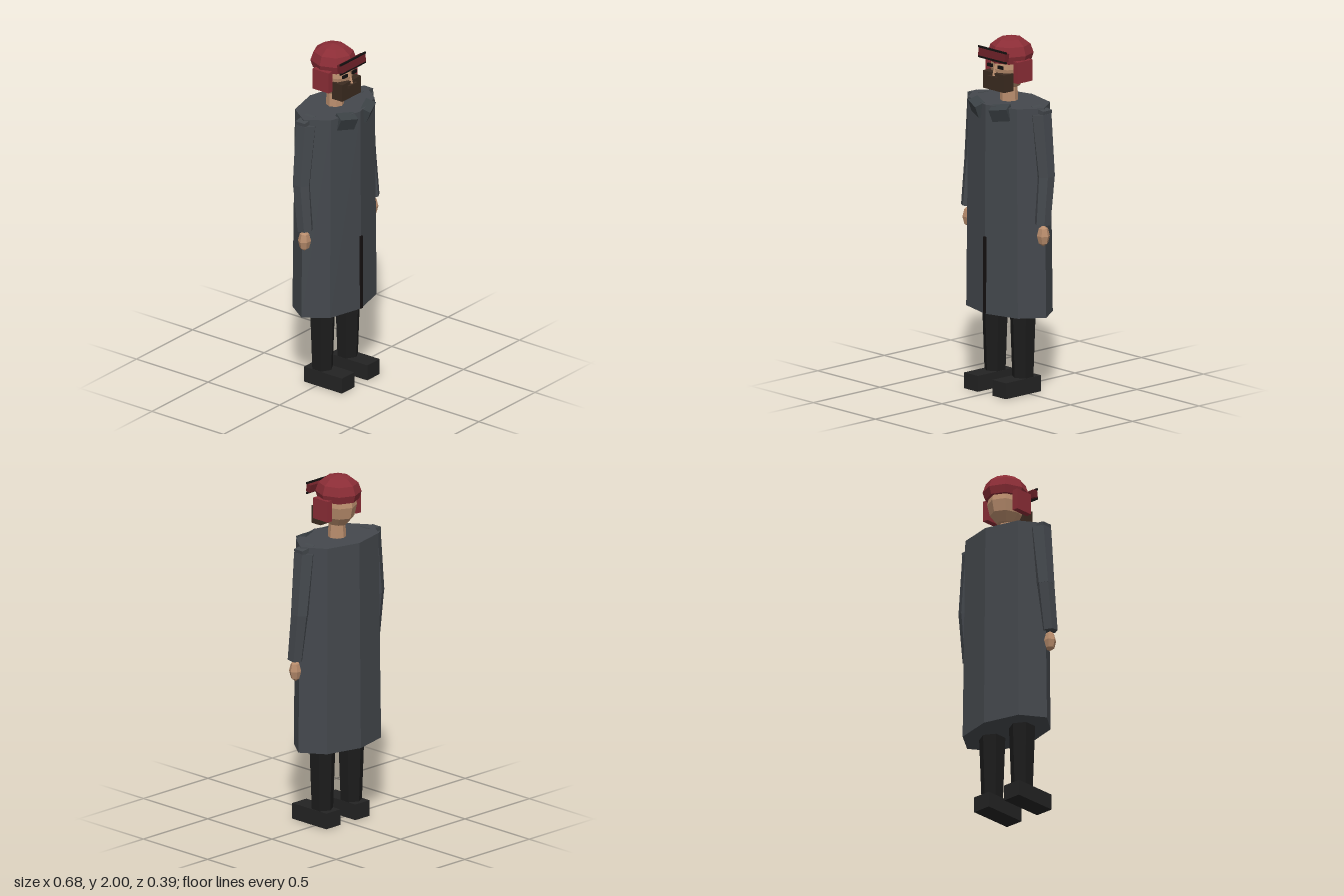
import * as THREE from 'three';

const mat = (name, color) => {
  const m = new THREE.MeshStandardMaterial({ color, flatShading: true });
  m.name = name;
  return m;
};

export function createModel() {
  const root = new THREE.Group();
  root.name = 'manInLongCoat';
  const coatGrey = mat('coat grey', 0x44484d);
  const collarGrey = mat('collar grey', 0x3b4145);
  const trouserBlack = mat('trouser black', 0x1c1c1c);
  const bootBlack = mat('boot black', 0x232323);
  const skin = mat('skin', 0xb98d6d);
  const beardBrown = mat('beard brown', 0x3b2b20);
  const red = mat('cap red', 0x8b2d36);
  const darkRed = mat('peak red', 0x6b2027);
  const black = mat('black', 0x141010);

  const add = (name, geo, m, x = 0, y = 0, z = 0, rx = 0, ry = 0, rz = 0) => {
    const mesh = new THREE.Mesh(geo, m);
    mesh.name = name;
    mesh.position.set(x, y, z);
    mesh.rotation.set(rx, ry, rz);
    root.add(mesh);
    return mesh;
  };
  const box = (w, h, d) => new THREE.BoxGeometry(w, h, d);

  // Tapered limb between two points
  const limb = (name, a, b, ra, rb, sides, m) => {
    const p = new THREE.Vector3(...a), q = new THREE.Vector3(...b);
    const dir = p.clone().sub(q);
    const mesh = add(name, new THREE.CylinderGeometry(ra, rb, dir.length(), sides), m);
    mesh.position.copy(p).add(q).multiplyScalar(0.5);
    mesh.quaternion.setFromUnitVectors(new THREE.Vector3(0, 1, 0), dir.normalize());
    return mesh;
  };

  // Coat: eight-sided outline [x, z], from the front round to the back
  const outline = [[0, 0.178], [0.208, 0.123], [0.3, -0.005], [0.21, -0.138], [0, -0.191]];
  const coat = new THREE.CylinderGeometry(1, 1, 1.185, 8);
  const pos = coat.attributes.position;
  for (let i = 0; i < pos.count; i++) {
    const x = pos.getX(i), z = pos.getZ(i);
    if (Math.hypot(x, z) < 0.1) continue;
    const k = Math.round(Math.atan2(x, z) / (Math.PI / 4));
    const [ox, oz] = outline[Math.abs(k)];
    const s = pos.getY(i) > 0 ? 0.94 : 1;
    pos.setXYZ(i, Math.sign(k) * ox * s, pos.getY(i), oz > 0 ? oz * (s + 1) / 2 : oz * s);
  }
  add('coat', coat, coatGrey, 0, 1.0475, 0);
  add('coatSlit', box(0.018, 0.435, 0.01), black, 0, 0.6745, 0.178);

  for (const s of [-1, 1]) {
    // Collar flap and shoulder strap
    add('collarFlap', box(0.11, 0.075, 0.06), collarGrey, s * 0.093, 1.605, 0.14, 0.4, -s * -0.4, 0);
    add('shoulderStrap', box(0.1, 0.025, 0.065), coatGrey, s * 0.255, 1.624, -0.01, 0, 0, -s * 0.12);

    // Arms
    limb('upperArm', [s * 0.252, 1.605, -0.008], [s * 0.292, 1.255, -0.01], 0.062, 0.052, 6, coatGrey);
    limb('forearm', [s * 0.292, 1.265, -0.01], [s * 0.297, 0.988, 0.02], 0.051, 0.045, 6, coatGrey);
    add('hand', new THREE.SphereGeometry(1, 6, 4), skin, s * 0.3, 0.925, 0.017).scale.set(0.038, 0.06, 0.036);

    // Legs and boots
    add('trouserLeg', new THREE.CylinderGeometry(0.076, 0.06, 0.44, 6), trouserBlack, s * 0.112, 0.29, -0.004);
    add('boot', box(0.11, 0.09, 0.265), bootBlack, s * 0.113, 0.045, 0.0425);

    // Eyes and ear flaps
    add('eye', box(0.038, 0.018, 0.009), black, s * 0.042, 1.845, 0.098);
    add('earFlap', box(0.034, 0.12, 0.112), red, s * 0.112, 1.82, -0.005);
  }

  // Neck and head
  add('neck', new THREE.CylinderGeometry(0.045, 0.052, 0.13, 8), skin, 0, 1.68, -0.005);
  const head = add('head', new THREE.SphereGeometry(1, 8, 6), skin, 0, 1.83, -0.01);
  head.scale.set(0.098, 0.13, 0.115);
  add('nose', new THREE.ConeGeometry(0.016, 0.06, 4), skin, 0, 1.825, 0.105);
  add('beard', box(0.168, 0.1, 0.07), beardBrown, 0, 1.76, 0.076);
  add('moustache', box(0.07, 0.018, 0.016), beardBrown, 0, 1.783, 0.117);

  // Cap crown
  const profile = [[0, 1.862], [0.11, 1.862], [0.123, 1.905], [0.106, 1.955], [0.064, 1.987], [0, 2]];
  const crown = new THREE.LatheGeometry(profile.map(p => new THREE.Vector2(...p)), 8);
  add('capCrown', crown, red, 0, 0, -0.016).scale.z = 1.07;

  // Turned-up peak with dark trim
  add('capPeak', box(0.214, 0.045, 0.03), darkRed, 0, 1.914, 0.111, -0.15);
  for (const y of [1.942, 1.886]) add('peakTrim', box(0.226, 0.01, 0.009), black, 0, y, 0.12);
  return root;
}
